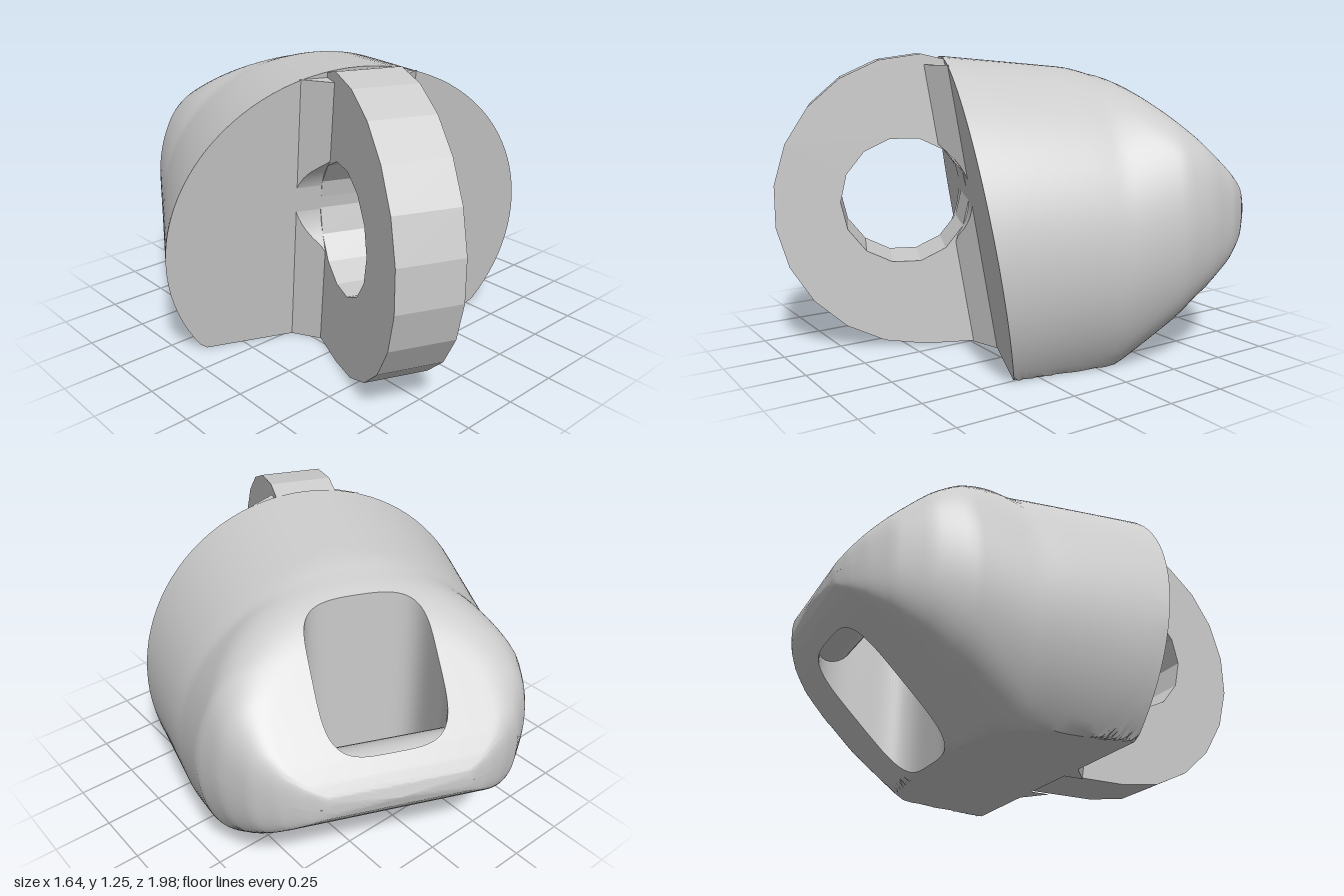
import * as THREE from 'three';
import { toCreasedNormals } from 'three/addons/utils/BufferGeometryUtils.js';

const material = new THREE.MeshStandardMaterial({ color: 0xcccccc });

// Piecewise linear lookup in a table of [position, value], positions rising
function lerpTable(table, x) {
  if (x <= table[0][0]) return table[0][1];
  for (let i = 1; i < table.length; i++) {
    const [x0, y0] = table[i - 1], [x1, y1] = table[i];
    if (x <= x1) return y0 + (y1 - y0) * (x - x0) / (x1 - x0);
  }
  return table[table.length - 1][1];
}

// Skin a grid of rows of [x, y, z] points
function skin(rows, closed, crease) {
  const n = rows[0].length, m = rows.length;
  const index = [];
  for (let i = 0; i < (closed ? m : m - 1); i++) {
    for (let j = 0; j < (closed ? n : n - 1); j++) {
      const a = i * n + j, b = ((i + 1) % m) * n + j;
      const d = i * n + (j + 1) % n, c = ((i + 1) % m) * n + (j + 1) % n;
      index.push(a, d, c, a, c, b);
    }
  }
  const g = new THREE.BufferGeometry();
  g.setAttribute('position', new THREE.Float32BufferAttribute(rows.flat(2), 3));
  g.setIndex(index);
  return toCreasedNormals(g, crease);
}

function addMesh(group, name, geometry) {
  const mesh = new THREE.Mesh(geometry, material);
  mesh.name = name;
  group.add(mesh);
  return mesh;
}

// Body measurements: z runs along the body, from the nose (-) to the front (+)
const FRONT = 0.2, FRONT_HALF = 0.78, NOSE = -0.945, SLOT_Z = -0.63;
const halfWidth = [[-0.945, 0], [-0.935, 0.28], [-0.91, 0.36], [-0.87, 0.44], [-0.8, 0.53],
  [-0.68, 0.62], [-0.55, 0.68], [FRONT, FRONT_HALF]];
const wedgeHeight = [[-0.945, 0], [-0.93, 0.05], [-0.9, 0.09], [-0.85, 0.145], [-0.35, 0.63], [0.4, 1.4]];
const midHeight = [[-0.65, 0.58], [-0.3, 0.46], [0.2, 0.455]];

function softMin(a, b, k = 0.2) {
  const h = Math.max(k - Math.abs(a - b), 0) / k;
  return Math.min(a, b) - h * h * k / 4;
}

// Top and bottom heights of the tapered barrel with its wedge-shaped nose
function heights(x, z) {
  const s = Math.min(1, Math.abs(x) / Math.max(1e-4, lerpTable(halfWidth, z)));
  const round = (0.753 + 0.133 * z) * Math.sqrt(1 - s * s);
  const wedge = lerpTable(wedgeHeight, z), mid = lerpTable(midHeight, z);
  return [
    Math.max(mid, softMin(mid + round, 0.58 + wedge)),
    Math.max(0, Math.min(mid, -softMin(round - mid, wedge - 0.58)))
  ];
}

// The front face leans forward towards the top
const frontPlane = y => 0.13 + 0.165 * y;
function lean(x, y, z) {
  const f = Math.max(0, (z + 0.2) / (FRONT + 0.2));
  return [x, y, z + f * (frontPlane(y) - FRONT)];
}

// Distance from the slot centre to the body outline in a direction
function reach(dx, dz) {
  let lo = 0, hi = 2;
  for (let i = 0; i < 40; i++) {
    const t = (lo + hi) / 2, z = SLOT_Z + t * dz;
    if (z < FRONT && z > NOSE && Math.abs(t * dx) < lerpTable(halfWidth, z)) lo = t;
    else hi = t;
  }
  return lo;
}

// Body: closed sections fanned around the vertical slot, closer at the front corners
function bodyGeometry() {
  const depth = FRONT - SLOT_Z, corner = Math.atan2(FRONT_HALF, depth);
  const angles = [];
  for (let i = 0; i < 48; i++) {
    angles.push(Math.atan2(-FRONT_HALF * Math.cos(Math.PI * i / 48), depth));
  }
  for (let i = 0; i < 110; i++) angles.push(corner + (2 * Math.PI - 2 * corner) * i / 110);
  const steps = 28;
  const rows = angles.map(a => {
    const dx = Math.sin(a), dz = Math.cos(a);
    const inner = Math.pow((Math.abs(dx) / 0.245) ** 4 + (Math.abs(dz) / 0.225) ** 4, -0.25);
    const outer = reach(dx, dz);
    const top = [], bottom = [];
    for (let k = 0; k <= steps; k++) {
      const t = inner + (outer - inner) * Math.sin(k / steps * Math.PI / 2);
      const x = t * dx, z = SLOT_Z + t * dz;
      const [hi, lo] = heights(x, z);
      top.push(lean(x, hi, z));
      bottom.unshift(lean(x, lo, z));
    }
    return [...top, ...bottom];
  });
  return skin(rows, true, 0.6);
}

const HOLE = { z: 0.5, y: 0.635, r: 0.268 };
const TONGUE = 0.133;

// Tongue: flat eye plate with a round hole
function tongueGeometry() {
  const shape = new THREE.Shape();
  shape.moveTo(0.02, 0.004);
  for (let i = 0; i <= 11; i++) {
    const a = -Math.PI / 2 + Math.PI * i / 11;
    shape.lineTo(0.425 + 0.615 * Math.cos(a), Math.max(0.004, 0.625 + 0.62 * Math.sin(a)));
  }
  shape.lineTo(0.3, 1.215);
  shape.lineTo(0.02, 1.1);
  const hole = new THREE.Path();
  for (let i = 0; i < 14; i++) {
    const a = -2 * Math.PI * i / 14;
    const x = HOLE.z + HOLE.r * Math.cos(a), y = HOLE.y + HOLE.r * Math.sin(a);
    if (i) hole.lineTo(x, y); else hole.moveTo(x, y);
  }
  shape.holes.push(hole);
  const g = new THREE.ExtrudeGeometry(shape, { depth: TONGUE * 2, bevelEnabled: false });
  g.rotateY(-Math.PI / 2);
  g.translate(TONGUE, 0, 0);
  return g;
}

// Sloped web between tongue and front face, notched by the eye hole
function webGeometry(side) {
  const rows = [];
  const rise = 0.09, run = 0.11, top = 1.2, n = 40;
  for (let i = -1; i <= n + 1; i++) {
    const y = top * Math.min(n, Math.max(0, i)) / n, p = frontPlane(y) - 0.004;
    const dy = y - HOLE.y;
    let limit = p + rise;
    if (Math.abs(dy) < HOLE.r) limit = Math.min(limit, HOLE.z - Math.sqrt(HOLE.r ** 2 - dy * dy));
    if (i < 0 || i > n) limit = p;
    limit = Math.max(limit, p);
    const cut = TONGUE + run * (1 - (limit - p) / rise);
    const row = [[side * TONGUE, y, limit], [side * cut, y, limit], [side * (TONGUE + run), y, p]];
    rows.push(side > 0 ? row : row.reverse());
  }
  return skin(rows, false, 0.5);
}

export function createModel() {
  const model = new THREE.Group();
  model.name = 'connector';
  const part = new THREE.Group();
  part.name = 'eyeEnd';
  part.rotation.y = -0.4;
  part.position.set(-0.025, 0, -0.01);
  model.add(part);

  addMesh(part, 'body', bodyGeometry());

  // Round crossbar at the nose, spanning the slot
  const bar = new THREE.CylinderGeometry(0.125, 0.125, 0.6, 24);
  bar.rotateZ(Math.PI / 2);
  addMesh(part, 'noseBar', bar).position.set(0, 0.58, -0.8);

  addMesh(part, 'tongue', tongueGeometry());
  addMesh(part, 'leftWeb', webGeometry(1));
  addMesh(part, 'rightWeb', webGeometry(-1));
  return model;
}
